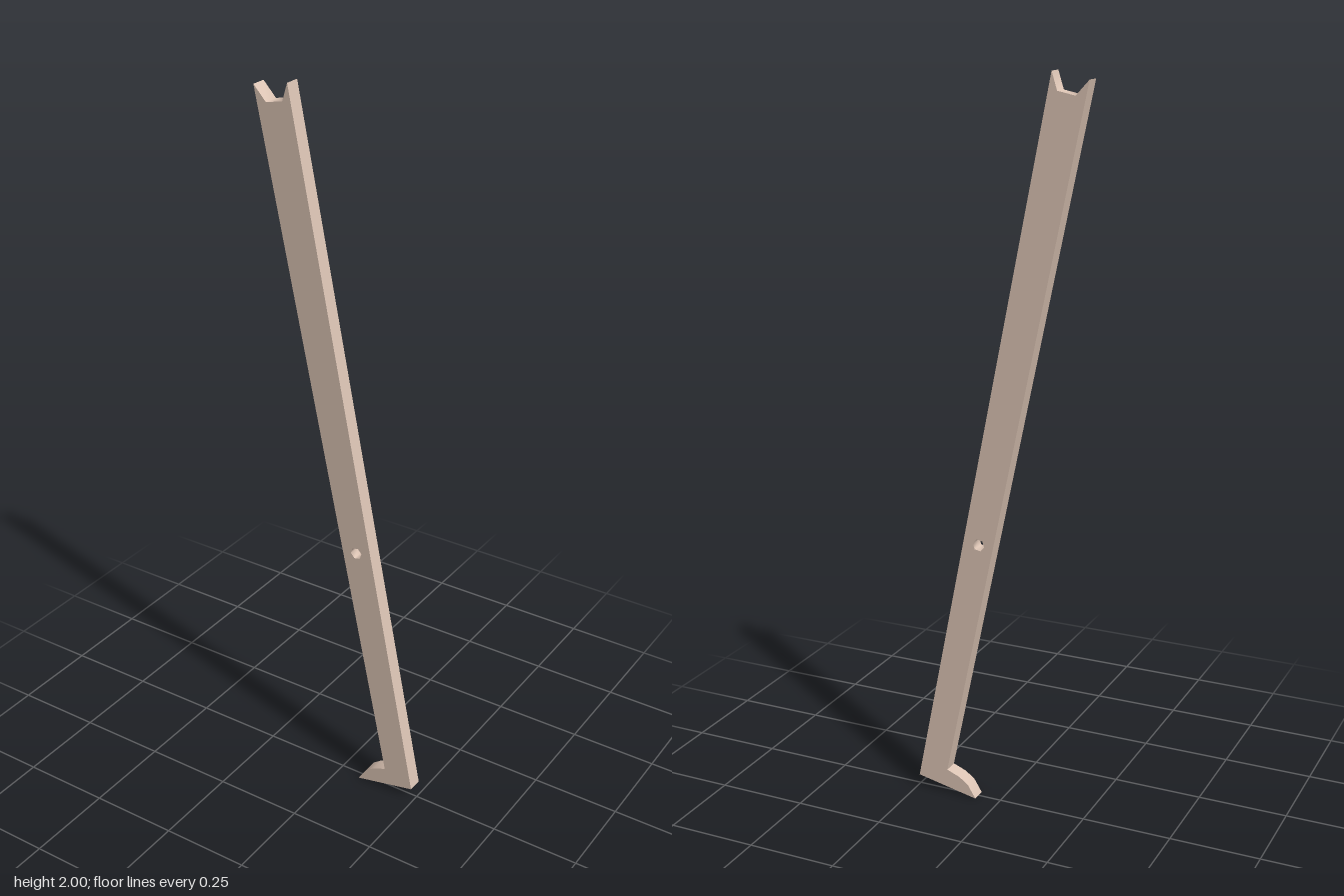
import * as THREE from 'three';
import { toCreasedNormals } from 'three/addons/utils/BufferGeometryUtils.js';

const THICKNESS = 0.042;

export function createModel() {
  const model = new THREE.Group();
  model.name = 'slantedLeg';

  // Leg outline: foot at the bottom, cradle notch at the top
  const outline = [
    [0.068, 0], [0.243, 0.037],                                  // sole
    [-0.145, 2],                                                 // outer edge
    [-0.16, 1.953], [-0.208, 1.943], [-0.244, 1.982],            // cradle notch
    [0.155, 0.071], [0.117, 0.056], [0.091, 0.037],              // inner edge, instep
  ];
  const shape = new THREE.Shape(outline.map(([x, y]) => new THREE.Vector2(x, y)));

  // Six-sided bolt hole
  const hole = [];
  for (let i = 0; i < 6; i++) {
    const a = -i * Math.PI / 3 + 0.2;
    hole.push(new THREE.Vector2(0.055 + 0.017 * Math.cos(a), 0.757 + 0.017 * Math.sin(a)));
  }
  shape.holes.push(new THREE.Path(hole));

  // Smooth notch, instep and hole; sharp outer corners
  let geometry = new THREE.ExtrudeGeometry(shape, { depth: THICKNESS, bevelEnabled: false });
  geometry.translate(0, 0, -THICKNESS / 2);
  geometry = toCreasedNormals(geometry, 1.2);

  const leg = new THREE.Mesh(geometry, new THREE.MeshStandardMaterial({ color: 0xdcc4b4 }));
  leg.name = 'leg';
  model.add(leg);
  return model;
}
